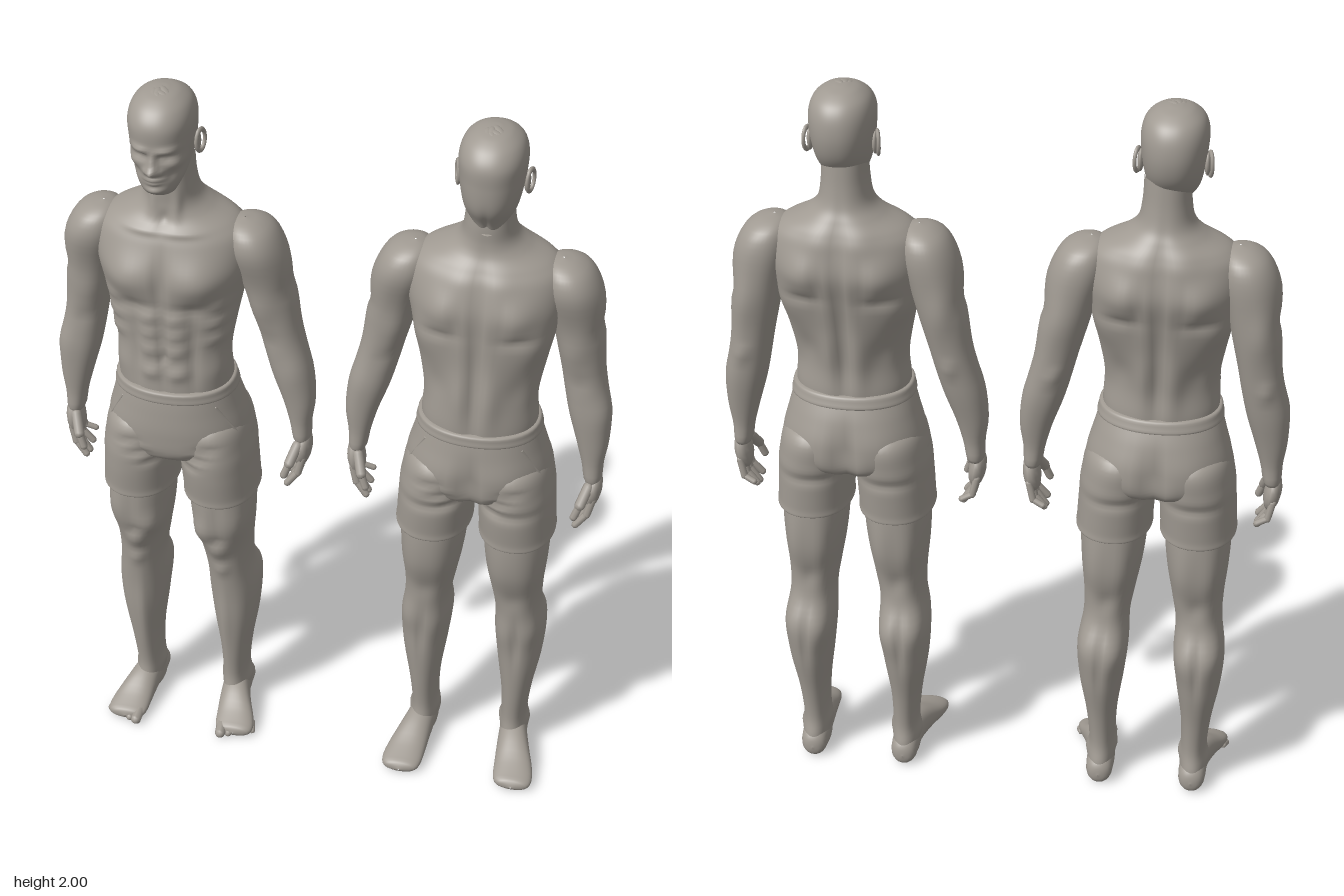
import * as THREE from 'three';

const clay = new THREE.MeshStandardMaterial({ color: 0xa09a92 });
clay.name = 'warm grey clay';

function part(name, geometry) {
  const mesh = new THREE.Mesh(geometry, clay);
  mesh.name = name;
  return mesh;
}

// Smooth skin through rows [y, centreX, halfWidth, frontZ, backZ], bottom to top.
// Bumps [x, y, z, spreadX, spreadY, spreadZ, amount] swell or sink it on both sides.
function loft(rows, bumps = [], side = 1, nv = 40, nu = 44) {
  const centre = new THREE.CatmullRomCurve3(rows.map(r => new THREE.Vector3(r[1] * side, r[0], (r[3] + r[4]) / 2)), false, 'catmullrom', 0.5);
  const size = new THREE.CatmullRomCurve3(rows.map(r => new THREE.Vector3(r[2], 0, (r[3] - r[4]) / 2)), false, 'catmullrom', 0.5);
  const pos = [], index = [];
  for (let i = 0; i <= nv; i++) {
    const c = centre.getPoint(i / nv), r = size.getPoint(i / nv);
    const rx = Math.max(r.x, 0.001), rz = Math.max(r.z, 0.001);
    for (let j = 0; j < nu; j++) {
      const a = j / nu * Math.PI * 2, sn = Math.sin(a), cs = Math.cos(a);
      const x = c.x + rx * Math.sign(sn) * Math.abs(sn) ** 0.92;
      const z = c.z + rz * Math.sign(cs) * Math.abs(cs) ** 0.92;
      let d = 0;
      for (const b of bumps) {
        d += b[6] * Math.exp(-(((Math.abs(x) - b[0]) / b[3]) ** 2) - ((c.y - b[1]) / b[4]) ** 2 - ((z - b[2]) / b[5]) ** 2);
      }
      const l = Math.hypot(sn / rx, cs / rz);
      pos.push(x + d * sn / rx / l, c.y, z + d * cs / rz / l);
      if (i < nv) {
        const k = i * nu, n = (j + 1) % nu;
        index.push(k + j, k + n, k + nu + n, k + j, k + nu + n, k + nu + j);
      }
    }
  }
  const g = new THREE.BufferGeometry();
  g.setAttribute('position', new THREE.Float32BufferAttribute(pos, 3));
  g.setIndex(index);
  g.computeVertexNormals();
  return g;
}

// Rounded rod between two points
function rod(name, a, b, r) {
  const p = new THREE.Vector3(...a), q = new THREE.Vector3(...b), d = q.clone().sub(p);
  const mesh = part(name, new THREE.CapsuleGeometry(r, d.length(), 4, 8));
  mesh.position.copy(p).add(q).multiplyScalar(0.5);
  mesh.quaternion.setFromUnitVectors(new THREE.Vector3(0, 1, 0), d.normalize());
  return mesh;
}

function ball(name, p, s) {
  const mesh = part(name, new THREE.SphereGeometry(1, 14, 10));
  mesh.position.set(...p);
  mesh.scale.set(...s);
  return mesh;
}

const flip = bumps => bumps.map(b => [b[0], b[1], -b[2] - 0.015, ...b.slice(3)]);

// Muscle shapes: chest and abdomen, back, seat, calves, front of leg
const chest = [
  [0.085, 1.51, 0.11, 0.065, 0.055, 0.08, 0.022], [0.085, 1.425, 0.12, 0.07, 0.02, 0.06, -0.01],
  [0, 1.51, 0.13, 0.014, 0.07, 0.06, -0.014], [0, 1.32, 0.13, 0.009, 0.12, 0.06, -0.009],
  [0.075, 1.3, 0.1, 0.013, 0.12, 0.06, -0.008], [0, 1.275, 0.12, 0.008, 0.009, 0.05, -0.01],
  ...[1.4, 1.35, 1.3, 1.23].map(y => [0.034, y, 0.12, 0.026, 0.02, 0.06, 0.01]),
  ...[1.43, 1.38, 1.33].map(y => [0.13, y, 0.07, 0.03, 0.016, 0.05, 0.008]),
  [0.12, 1.23, 0.06, 0.04, 0.04, 0.06, 0.008],
  [0.045, 1.635, 0.07, 0.06, 0.01, 0.04, 0.007], [0, 1.66, 0.06, 0.014, 0.02, 0.04, -0.01],
  [0.03, 1.7, 0.05, 0.012, 0.04, 0.03, 0.006]];
const back = [
  [0, 1.4, -0.14, 0.016, 0.2, 0.08, -0.018], [0.09, 1.53, -0.14, 0.05, 0.05, 0.07, 0.016],
  [0.14, 1.43, -0.1, 0.05, 0.06, 0.06, 0.012], [0.1, 1.46, -0.14, 0.04, 0.013, 0.06, -0.008],
  [0.05, 1.62, -0.13, 0.04, 0.05, 0.05, 0.008], [0.035, 1.27, -0.11, 0.025, 0.09, 0.05, 0.012],
  [0.055, 1.5, -0.16, 0.014, 0.06, 0.05, -0.008], [0.1, 1.3, -0.09, 0.03, 0.05, 0.05, -0.007]];
const seat = [[0, 1, -0.16, 0.015, 0.08, 0.06, -0.022], [0.085, 1.03, -0.15, 0.06, 0.06, 0.06, 0.008],
  [0.1, 0.925, -0.14, 0.07, 0.014, 0.06, -0.008]];
const folds = [0, 1, 2].map(i => [0.05 + i * 0.03, 0.93 + i * 0.035, 0.13, 0.03, 0.009, 0.06, -0.008]);
const calf = [[0.095, 0.45, -0.13, 0.03, 0.06, 0.05, 0.01], [0.165, 0.47, -0.12, 0.03, 0.055, 0.05, 0.01],
  [0.13, 0.42, -0.15, 0.009, 0.08, 0.04, -0.009], [0.12, 0.6, -0.12, 0.025, 0.03, 0.04, -0.008],
  [0.08, 0.7, -0.12, 0.025, 0.1, 0.05, 0.007], [0.155, 0.7, -0.12, 0.025, 0.1, 0.05, 0.007]];
const shin = [[0.115, 0.625, 0.08, 0.026, 0.03, 0.05, 0.014], [0.075, 0.69, 0.08, 0.028, 0.04, 0.05, 0.014],
  [0.165, 0.73, 0.07, 0.028, 0.06, 0.05, 0.01], [0.115, 0.67, 0.09, 0.02, 0.012, 0.04, -0.008],
  [0.12, 0.55, 0.06, 0.018, 0.02, 0.04, 0.008], [0.12, 0.35, 0.05, 0.012, 0.13, 0.04, 0.006],
  [0.12, 0.77, 0.1, 0.012, 0.08, 0.05, -0.005]];
const ankle = [[0.165, 0.085, -0.05, 0.02, 0.02, 0.03, 0.008], [0.09, 0.095, -0.045, 0.02, 0.02, 0.03, 0.008]];
const face = [
  [0, 1.822, 0.11, 0.012, 0.013, 0.05, 0.028], [0, 1.845, 0.11, 0.009, 0.02, 0.05, 0.014],
  [0.017, 1.817, 0.1, 0.008, 0.008, 0.04, 0.007], [0.032, 1.876, 0.09, 0.024, 0.009, 0.04, 0.009],
  [0.031, 1.857, 0.09, 0.018, 0.01, 0.04, -0.012], [0.031, 1.856, 0.09, 0.01, 0.005, 0.04, 0.006],
  [0, 1.794, 0.1, 0.02, 0.005, 0.04, 0.009], [0, 1.783, 0.1, 0.017, 0.005, 0.04, 0.008],
  [0, 1.788, 0.1, 0.024, 0.002, 0.04, -0.004], [0, 1.76, 0.09, 0.022, 0.011, 0.04, 0.01],
  [0.052, 1.835, 0.07, 0.018, 0.014, 0.04, 0.006], [0.045, 1.805, 0.07, 0.014, 0.016, 0.04, -0.006]];
const nape = [[0, 1.75, 0.1, 0.09, 0.05, 0.07, -0.035], [0.02, 1.78, 0.08, 0.02, 0.04, 0.04, 0.004]];

function makeHead(faced) {
  const head = new THREE.Group();
  head.name = 'head';
  head.add(part('skull', loft([
    [1.732, 0, 0.002, 0.05, 0.045], [1.74, 0, 0.036, 0.075, 0], [1.758, 0, 0.05, 0.088, -0.03], [1.79, 0, 0.065, 0.095, -0.075],
    [1.83, 0, 0.074, 0.098, -0.106], [1.88, 0, 0.081, 0.1, -0.12], [1.93, 0, 0.083, 0.1, -0.117],
    [1.965, 0, 0.072, 0.08, -0.1], [1.987, 0, 0.047, 0.048, -0.068], [1.996, 0, 0.02, 0.015, -0.035], [1.998, 0, 0.001, -0.009, -0.011]],
    faced ? face : nape, 1, 80, 72)));
  // Ears with a raised rim
  for (const s of [-1, 1]) {
    head.add(ball('ear', [s * 0.082, 1.85, -0.022], [0.008, 0.03, 0.018]));
    const rim = part('earRim', new THREE.TorusGeometry(0.02, 0.005, 8, 20));
    rim.position.set(s * 0.089, 1.852, -0.024);
    rim.rotation.y = s * (Math.PI / 2 - 0.3);
    rim.scale.y = 1.45;
    head.add(rim);
  }
  // Short tufts of hair swept over the front of the crown
  for (let i = 0; i < 22; i++) {
    const u = -0.9 + 1.8 * ((i * 0.618) % 1), v = 0.5 + 0.85 * (i / 21);
    const n = new THREE.Vector3(Math.sin(u) * Math.cos(v), Math.sin(v), Math.cos(u) * Math.cos(v));
    const tuft = ball('hairTuft', [n.x * 0.079, 1.9 + n.y * 0.093, n.z * 0.104 - 0.01], [0.012, 0.024, 0.007]);
    tuft.quaternion.setFromUnitVectors(new THREE.Vector3(0, 0, 1), n);
    tuft.rotateZ(0.5 * Math.sin(i * 2.4) + 0.5);
    head.add(tuft);
  }
  return head;
}

function makeArm(side, spread) {
  const arm = new THREE.Group();
  arm.name = side > 0 ? 'leftArm' : 'rightArm';
  const out = (x, y) => x + spread * THREE.MathUtils.clamp((1.55 - y) / 0.45, 0, 1);
  const rows = [
    [0.965, 0.297, 0.002, -0.03, -0.035], [0.975, 0.297, 0.022, 0.002, -0.07], [1.03, 0.293, 0.029, 0.003, -0.073],
    [1.1, 0.288, 0.043, 0.008, -0.085], [1.18, 0.276, 0.054, 0.012, -0.1], [1.25, 0.262, 0.055, 0.01, -0.108],
    [1.32, 0.25, 0.056, 0.012, -0.115], [1.4, 0.239, 0.062, 0.018, -0.122], [1.48, 0.226, 0.066, 0.035, -0.125],
    [1.56, 0.212, 0.072, 0.055, -0.125], [1.61, 0.2, 0.06, 0.045, -0.11], [1.634, 0.19, 0.035, 0.015, -0.075],
    [1.642, 0.185, 0.002, -0.025, -0.03]].map(r => [r[0], out(r[1], r[0]), ...r.slice(2)]);
  arm.add(part('armSkin', loft(rows, [
    [0.29, 1.52, -0.03, 0.04, 0.05, 0.05, 0.006], [0.29, 1.45, -0.04, 0.04, 0.018, 0.06, -0.006],
    [0.23, 1.39, 0.01, 0.035, 0.05, 0.04, 0.01], [0.25, 1.43, -0.12, 0.03, 0.06, 0.04, 0.008],
    [0.31, 1.2, -0.02, 0.03, 0.05, 0.04, 0.006], [0.27, 1.27, -0.11, 0.02, 0.018, 0.03, 0.008],
    [0.25, 1.29, 0.01, 0.03, 0.012, 0.03, -0.006]], side)));
  // Palm, four bent fingers and a thumb
  const hx = x => side * (x + spread);
  const palm = ball('palm', [hx(0.3), 0.94, -0.03], [0.023, 0.054, 0.045]);
  palm.rotation.z = -side * 0.15;
  arm.add(palm);
  for (let i = 0; i < 4; i++) {
    const z = -i * 0.022, zt = 0.012 - i * 0.03, y = [0.838, 0.83, 0.84, 0.86][i], r = i === 3 ? 0.0095 : 0.011;
    arm.add(rod('fingerBase', [hx(0.303), 0.925, z], [hx(0.292), 0.88, (z + zt) / 2], r));
    arm.add(rod('fingerTip', [hx(0.292), 0.88, (z + zt) / 2], [hx(0.265), y + 0.008, zt], r * 0.88));
  }
  arm.add(rod('thumbBase', [hx(0.29), 0.965, 0], [hx(0.275), 0.925, 0.03], 0.014));
  arm.add(rod('thumbTip', [hx(0.275), 0.925, 0.03], [hx(0.262), 0.89, 0.037], 0.0105));
  return arm;
}

function makeLeg(side, faced) {
  const leg = new THREE.Group();
  leg.name = side > 0 ? 'leftLeg' : 'rightLeg';
  leg.add(part('legSkin', loft([
    [0.005, 0.128, 0.002, -0.06, -0.065], [0.012, 0.128, 0.032, 0.01, -0.115], [0.06, 0.128, 0.037, 0.028, -0.12], [0.12, 0.127, 0.035, 0.022, -0.108],
    [0.22, 0.13, 0.042, 0.033, -0.118], [0.34, 0.132, 0.06, 0.045, -0.142], [0.44, 0.13, 0.068, 0.05, -0.15],
    [0.53, 0.124, 0.062, 0.06, -0.115], [0.61, 0.118, 0.069, 0.072, -0.113], [0.7, 0.114, 0.081, 0.1, -0.128],
    [0.8, 0.111, 0.088, 0.108, -0.13], [0.92, 0.108, 0.085, 0.1, -0.12]],
    [...calf, ...ankle, ...(faced ? shin : flip(calf).map(b => [b[0], b[1], b[2] - 0.07, ...b.slice(3)]))], side, 56)));
  // Foot is lofted from heel to toe, then laid down
  const k = faced ? 1 : 1.24;
  const foot = loft([
    [-0.128, 0.128, 0.002, -0.03, -0.035], [-0.122, 0.128, 0.022, -0.008, -0.06], [-0.1, 0.128, 0.036, 0, -0.08], [-0.03, 0.13, 0.038, 0, -0.1],
    [0.03 * k, 0.14, 0.045, 0, -0.088], [0.08 * k, 0.152, 0.053, 0, -0.058], [0.115 * k, 0.157, 0.054, 0, -0.042],
    [0.135 * k, 0.158, 0.042, -0.003, -0.033], [0.142 * k, 0.158, 0.002, -0.014, -0.018]], [], side, 24);
  foot.rotateX(Math.PI / 2);
  leg.add(part('foot', foot));
  if (faced) {
    for (let i = 0; i < 5; i++) {
      const r = i === 0 ? 0.015 : 0.0115 - i * 0.0006;
      leg.add(rod('toe', [side * (0.122 + i * 0.02), r + 0.008, 0.11 - i * 0.006], [side * (0.124 + i * 0.021), r, 0.146 - i * 0.009], r));
    }
  }
  return leg;
}

function makeShorts(faced) {
  const shorts = new THREE.Group();
  shorts.name = 'shorts';
  const bumps = [...seat, ...folds, ...(faced ? [] : flip(seat))];
  shorts.add(part('hips', loft([
    [0.915, 0, 0.002, 0, -0.02], [0.925, 0, 0.09, 0.07, -0.09], [0.96, 0, 0.19, 0.125, -0.15], [1.03, 0, 0.189, 0.136, -0.155],
    [1.1, 0, 0.171, 0.133, -0.142], [1.15, 0, 0.157, 0.127, -0.122], [1.17, 0, 0.15, 0.12, -0.112]], bumps)));
  shorts.add(part('waistband', loft([
    [1.138, 0, 0.155, 0.122, -0.12], [1.141, 0, 0.164, 0.132, -0.13], [1.155, 0, 0.161, 0.131, -0.126],
    [1.169, 0, 0.158, 0.13, -0.121], [1.172, 0, 0.148, 0.118, -0.11]], [], 1, 12)));
  for (const s of [-1, 1]) {
    shorts.add(part('shortsLeg', loft([
      [0.814, 0.111, 0.08, 0.1, -0.12], [0.806, 0.111, 0.1, 0.12, -0.14], [0.83, 0.11, 0.1, 0.122, -0.141],
      [0.9, 0.106, 0.1, 0.13, -0.146], [0.97, 0.102, 0.098, 0.13, -0.15], [1.05, 0.095, 0.08, 0.11, -0.13],
      [1.08, 0.09, 0.002, 0, -0.02]], bumps, s)));
    // Slanted pocket edge
    shorts.add(rod('pocketEdge', [s * 0.125, 1.12, 0.088], [s * 0.172, 1.03, 0.058], 0.004));
  }
  return shorts;
}

function makeFigure(name, faced, spreadSide) {
  const figure = new THREE.Group();
  figure.name = name;
  figure.add(part('torso', loft([
    [1.1, 0, 0.14, 0.115, -0.11], [1.17, 0, 0.15, 0.12, -0.112], [1.25, 0, 0.146, 0.118, -0.108], [1.35, 0, 0.162, 0.117, -0.128],
    [1.45, 0, 0.182, 0.122, -0.15], [1.53, 0, 0.2, 0.12, -0.163], [1.6, 0, 0.195, 0.1, -0.15], [1.637, 0, 0.165, 0.08, -0.137],
    [1.668, 0, 0.105, 0.062, -0.122], [1.7, 0, 0.072, 0.055, -0.107], [1.75, 0, 0.061, 0.055, -0.097], [1.82, 0, 0.058, 0.05, -0.09]],
    [...back, ...(faced ? chest : flip(back))], 1, 80, 80)));
  const head = makeHead(faced);
  head.position.x = faced ? -0.013 : 0.004;
  figure.add(head, makeShorts(faced));
  for (const s of [-1, 1]) figure.add(makeArm(s, s === spreadSide ? 0.03 : 0), makeLeg(s, faced));
  return figure;
}

export function createModel() {
  const model = new THREE.Group();
  model.name = 'anatomyPair';
  const first = makeFigure('frontStudy', true, 1);
  first.position.x = -0.405;
  const second = makeFigure('backStudy', false, -1);
  second.position.x = 0.4;
  model.add(first, second);
  return model;
}
